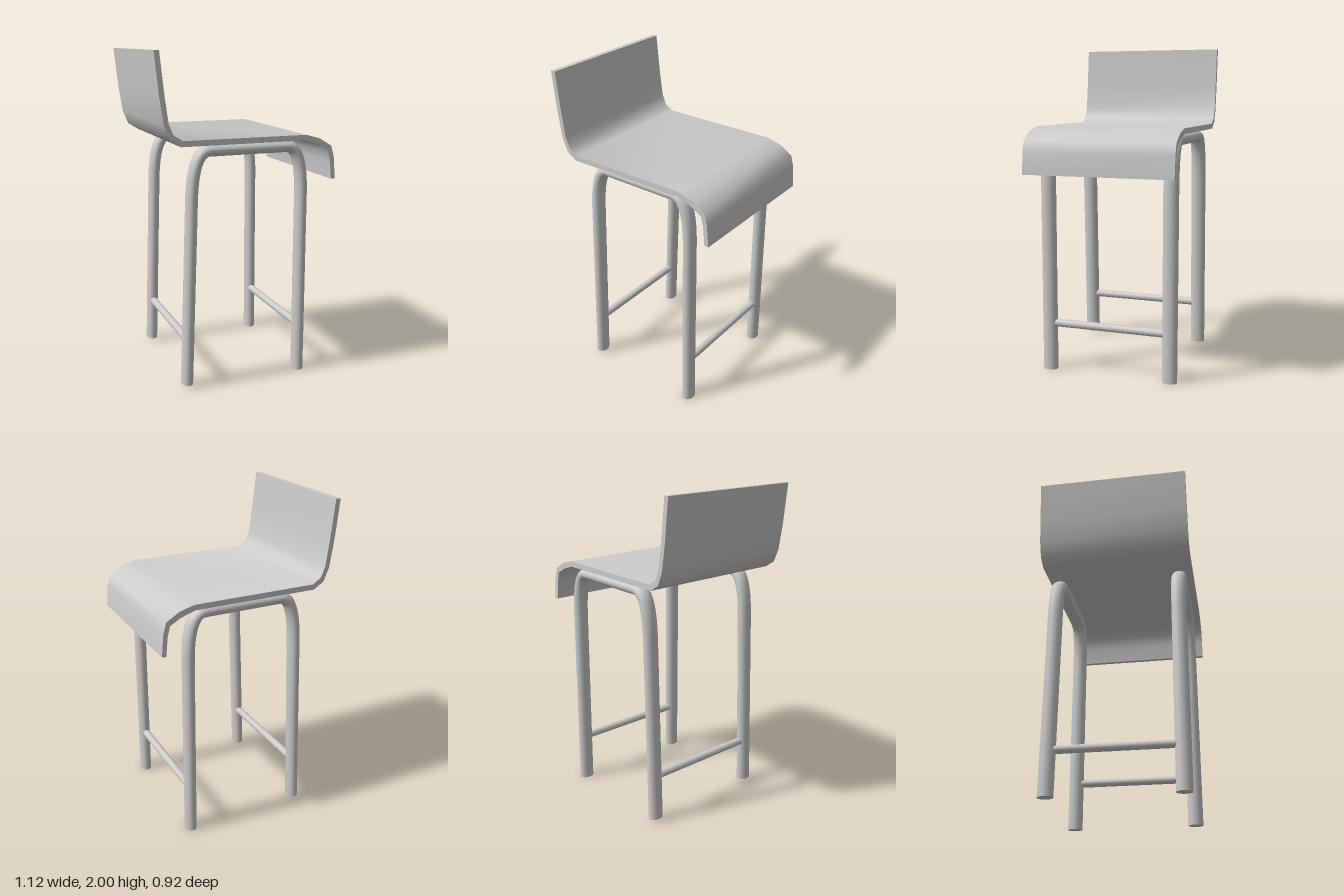
import * as THREE from 'three';
import { toCreasedNormals } from 'three/addons/utils/BufferGeometryUtils.js';

const grey = new THREE.MeshStandardMaterial({ color: 0xcccccc });
const v = (x, y) => new THREE.Vector3(x, y, 0);

function addMesh(parent, name, geometry, x = 0, y = 0, z = 0) {
  const mesh = new THREE.Mesh(geometry, grey);
  mesh.name = name;
  mesh.position.set(x, y, z);
  parent.add(mesh);
  return mesh;
}

// Bent sheet: upper and lower outline from the top of the back to the front lip
function seatShell() {
  const upper = [[-0.53, 2], [-0.504, 1.76], [-0.483, 1.607], [-0.456, 1.544], [-0.403, 1.51],
    [0.358, 1.51], [0.448, 1.485], [0.527, 1.437], [0.546, 1.369], [0.558, 1.236]];
  const lower = [[-0.56, 2], [-0.535, 1.76], [-0.51, 1.597], [-0.477, 1.517], [-0.414, 1.477],
    [0.352, 1.477], [0.442, 1.448], [0.506, 1.411], [0.522, 1.342], [0.532, 1.236]];
  const outline = [...lower, ...upper.reverse()].map(([x, y]) => new THREE.Vector2(x, y));
  const geometry = new THREE.ExtrudeGeometry(new THREE.Shape(outline), { depth: 0.92, bevelEnabled: false });
  return toCreasedNormals(geometry.translate(0, 0, -0.46), 0.9);
}

// One tube makes a rear leg, the rail under the seat and a front leg
const LEG_RADIUS = 0.036;
const LEG_WIDEN = 1.3; // the tube is oval, wider across the seat
const rearFoot = v(-0.367, 0.025), frontFoot = v(0.374, 0.003);

function legPath() {
  const path = new THREE.CurvePath();
  const rearBend = [v(-0.328, 1.15), v(-0.318, 1.438), v(-0.22, 1.438)];
  const frontBend = [v(0.27, 1.438), v(0.37, 1.438), v(0.372, 1.15)];
  path.add(new THREE.LineCurve3(rearFoot, rearBend[0]));
  path.add(new THREE.QuadraticBezierCurve3(...rearBend));
  path.add(new THREE.LineCurve3(rearBend[2], frontBend[0]));
  path.add(new THREE.QuadraticBezierCurve3(...frontBend));
  path.add(new THREE.LineCurve3(frontBend[2], frontFoot));
  return path;
}

export function createModel() {
  const model = new THREE.Group();
  model.name = 'barStool';

  addMesh(model, 'seatAndBack', seatShell());

  // Leg frames with closed feet
  const tube = new THREE.TubeGeometry(legPath(), 120, LEG_RADIUS, 20).scale(1, 1, LEG_WIDEN);
  const cap = new THREE.CircleGeometry(LEG_RADIUS, 20).rotateX(Math.PI / 2).scale(1, 1, LEG_WIDEN);
  const sides = { left: -0.392, right: 0.376 };
  for (const [side, z] of Object.entries(sides)) {
    const frame = new THREE.Group();
    frame.name = side + 'LegFrame';
    frame.position.z = z;
    addMesh(frame, 'legTube', tube);
    addMesh(frame, 'rearFoot', cap, rearFoot.x, rearFoot.y).rotation.z = -0.032;
    addMesh(frame, 'frontFoot', cap, frontFoot.x, frontFoot.y);
    model.add(frame);
  }

  // Stretchers joining the two frames
  const bar = new THREE.CylinderGeometry(0.024, 0.024, sides.right - sides.left, 16).rotateX(Math.PI / 2);
  const midZ = (sides.left + sides.right) / 2;
  addMesh(model, 'rearStretcher', bar, -0.357, 0.3, midZ);
  addMesh(model, 'frontStretcher', bar, 0.373, 0.3, midZ);

  return model;
}
